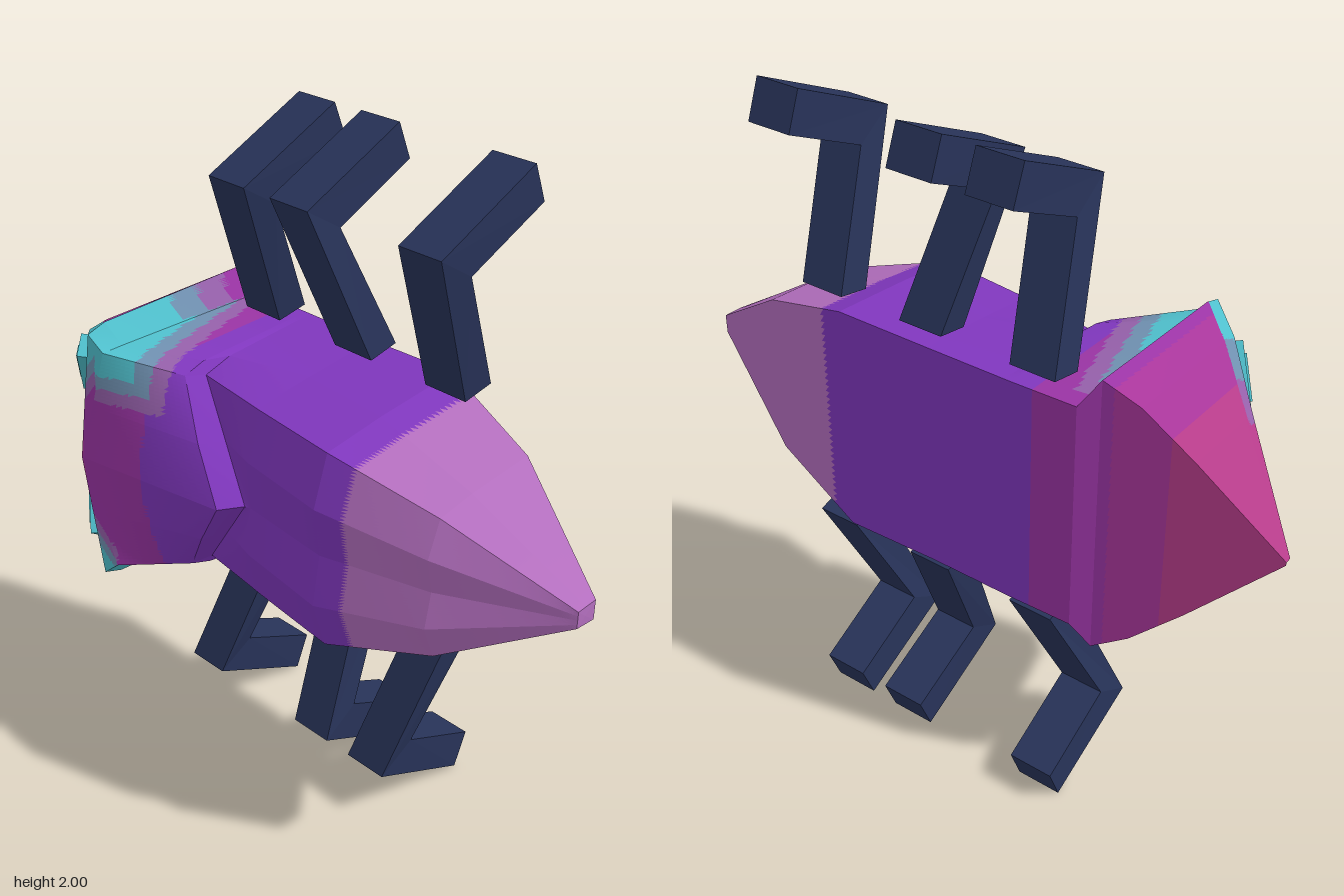
import * as THREE from 'three';

const colours = {
  pink: 0xb63c8a, rose: 0xa8369a, magenta: 0x9a34a4, purple: 0x8037be, mauve: 0xb46fbf,
  teal: 0x4fbfcc, greyTeal: 0x6f90b0, dustyViolet: 0x9560aa, navy: 0x283359,
};
const mats = {};
const names = Object.keys(colours);

// Half cross-section from belly centre to back centre: belly and top edges share one
// half width, the back centre may lean along x, and a ridge may swell beside it
function section(x, belly, w, topRatio, sideZ, edgeZ, backZ, lean = 0, ridge = 0) {
  const top = w * topRatio;
  return [
    [x, 0, belly], [x, w, belly], [x, w * (1 + topRatio) / 2, sideZ], [x, top, edgeZ],
    [x + lean / 2, top / 2, (edgeZ + backZ) / 2 + ridge], [x + lean, 0, backZ],
  ];
}

const stations = [
  // head: tip, two swells, rim
  section(-0.98, -0.1, 0.005, 1, -0.09, -0.08, -0.08),
  section(-0.74, -0.17, 0.25, 0.94, 0.08, 0.12, 0.15),
  section(-0.6, -0.21, 0.38, 0.94, 0.19, 0.25, 0.28),
  section(-0.5, -0.24, 0.44, 0.91, 0.27, 0.33, 0.355, -0.04),
  // shield: step behind the rim, pointed rear edge, undercut
  section(-0.45, -0.275, 0.36, 0.99, 0.25, 0.32, 0.355, -0.085),
  section(-0.25, -0.28, 0.36, 0.87, 0.12, 0.19, 0.27, 0.21, 0.01),
  section(-0.23, -0.28, 0.36, 0.84, 0.04, 0.13, 0.2, 0.23),
  // body and tapering tail
  section(0.02, -0.28, 0.36, 0.84, -0.03, 0.165, 0.195, 0, 0.025),
  section(0.32, -0.285, 0.365, 0.83, 0, 0.2, 0.225, 0, 0.035),
  section(0.64, -0.22, 0.26, 0.82, 0, 0.12, 0.14, 0, 0.03),
  section(0.975, -0.1, 0.03, 0.85, -0.06, -0.03, -0.03),
  section(0.976, -0.06, 0, 1, -0.06, -0.06, -0.06),
];

// Nested bands of colour by distance from a centre
function band(d, [teal, grey, dusty]) {
  if (d < teal) return 'teal';
  if (d < grey) return 'greyTeal';
  return d < dusty ? 'dustyViolet' : null;
}

// Colour of the shell at a point (y is measured from the middle plane)
function shellColour(x, y, z) {
  const w = Math.abs(y);
  if (x > 0.4) return 'mauve';
  let patch = null;
  if (x > -0.5 && x < -0.15 && w > 0.362) {
    // step behind the rim, fading towards the belly
    patch = band(0.33 - z, [0.3, 0.4, 0.5]);
  } else if (x > -0.48 && x < -0.15 && y > 0.2 && z > -0.22) {
    // bands on the upper shoulder of the shield
    patch = band(Math.max(x + 0.46 + (0.3 - z) * 0.28, (0.36 - w) * 1.25), [0.1, 0.15, 0.2]);
  } else if (x <= -0.45 && z > 0.09 + 0.78 * (x + 0.74)) {
    // patch around each eye, reaching out to the rim corner
    const dx = x + 0.67, dw = w - 0.16;
    const t = THREE.MathUtils.clamp((dx * 0.17 + dw * 0.25) / 0.0914, 0, 1);
    patch = band(Math.hypot(dx - 0.17 * t, dw - 0.25 * t), [0.055, 0.08, 0.105]);
  }
  if (patch) return patch;
  if (x < -0.68) return 'pink';
  if (x < -0.53) return 'rose';
  return x < -0.32 ? 'magenta' : 'purple';
}

// Full closed ring from a half section, each edge split evenly
function ring(half, split) {
  const full = half.map(([x, w, z]) => new THREE.Vector3(x, w, z));
  for (let i = 4; i > 0; i--) full.push(new THREE.Vector3(half[i][0], -half[i][1], half[i][2]));
  return full.flatMap((p, i) =>
    Array.from({ length: split }, (_, k) => p.clone().lerp(full[(i + 1) % full.length], k / split)));
}

// Skin over all stations, sorted into one material group per colour
function makeShell() {
  const split = 16, steps = 18;
  const main = stations.map((s) => ring(s, split));
  const rings = main.slice(0, -1).flatMap((a, i) =>
    Array.from({ length: steps }, (_, k) => a.map((p, j) => p.clone().lerp(main[i + 1][j], k / steps))));
  rings.push(main[main.length - 1]);
  const buckets = Object.fromEntries(names.map((n) => [n, []]));
  const addTri = (a, b, c) => {
    const m = a.clone().add(b).add(c).divideScalar(3);
    const out = buckets[shellColour(m.x, m.y, m.z)];
    for (const p of [a, b, c]) out.push(p.x, p.y + 1, p.z);
  };
  for (let i = 0; i < rings.length - 1; i++) {
    const a = rings[i], b = rings[i + 1];
    for (let j = 0; j < a.length; j++) {
      const k = (j + 1) % a.length;
      addTri(a[j], a[k], b[j]);
      addTri(a[k], b[k], b[j]);
    }
  }
  const geo = new THREE.BufferGeometry(), all = [];
  names.forEach((n, i) => {
    if (buckets[n].length) geo.addGroup(all.length / 3, buckets[n].length / 3, i);
    for (const v of buckets[n]) all.push(v);
  });
  geo.setAttribute('position', new THREE.Float32BufferAttribute(all, 3));
  geo.computeVertexNormals();
  return new THREE.Mesh(geo, names.map((n) => mats[n]));
}

// Bent leg: an L-shaped outline with thickness along x, leaning from hip to knee
function makeLeg(side, hipX, kneeX) {
  const outline = [[-0.16, 0.375], [0.03, 0.84], [-0.31, 1], [-0.355, 0.89], [-0.09, 0.765], [-0.26, 0.395]];
  const shape = new THREE.Shape(outline.map(([z, w]) => new THREE.Vector2(z, side * w)));
  const geo = new THREE.ExtrudeGeometry(shape, { depth: 0.14, bevelEnabled: false });
  geo.translate(0, 0, -0.07).rotateY(-Math.PI / 2);
  const p = geo.attributes.position;
  for (let i = 0; i < p.count; i++) {
    const t = THREE.MathUtils.clamp((Math.abs(p.getY(i)) - 0.385) / 0.4, 0, 1);
    p.setX(i, p.getX(i) + hipX + (kneeX - hipX) * t);
  }
  geo.translate(0, 1, 0);
  geo.computeVertexNormals();
  return new THREE.Mesh(geo, mats.navy);
}

// Flat raised eye lying on the sloping front of the head
function makeEye(side) {
  const along = new THREE.Vector3(0.09, 0.17 * side, 0.08).normalize();
  const normal = new THREE.Vector3(-0.68, 0.2 * side, 0.7);
  normal.addScaledVector(along, -normal.dot(along)).normalize();
  const across = along.clone().cross(normal);
  const eye = new THREE.Group();
  [[0.075, 0.2, 0.03, 0], [0.035, 0.13, 0.012, 0.018]].forEach(([w, l, h, lift]) => {
    const plate = new THREE.Mesh(new THREE.BoxGeometry(w, l, h), mats.teal);
    plate.position.z = lift;
    plate.name = 'eyePlate';
    eye.add(plate);
  });
  eye.applyMatrix4(new THREE.Matrix4().makeBasis(across, along, normal).setPosition(-0.63, 1 + 0.24 * side, 0.245));
  return eye;
}

export function createModel() {
  for (const n of names) {
    mats[n] = new THREE.MeshStandardMaterial({ color: colours[n] });
    mats[n].name = n;
  }
  const model = new THREE.Group();
  model.name = 'beetle';
  const add = (part, name) => { part.name = name; model.add(part); };
  add(makeShell(), 'shell');
  add(makeEye(1), 'upperEye');
  add(makeEye(-1), 'lowerEye');
  // [hip x, knee x] for front, middle and rear legs
  const legs = {
    upper: [[-0.305, -0.24], [0.06, 0], [0.4, 0.455]],
    lower: [[-0.305, -0.385], [0.05, 0.095], [0.4, 0.325]],
  };
  for (const [row, list] of Object.entries(legs)) {
    list.forEach(([hip, knee], i) =>
      add(makeLeg(row === 'upper' ? 1 : -1, hip, knee), row + ['Front', 'Middle', 'Rear'][i] + 'Leg'));
  }
  return model;
}
